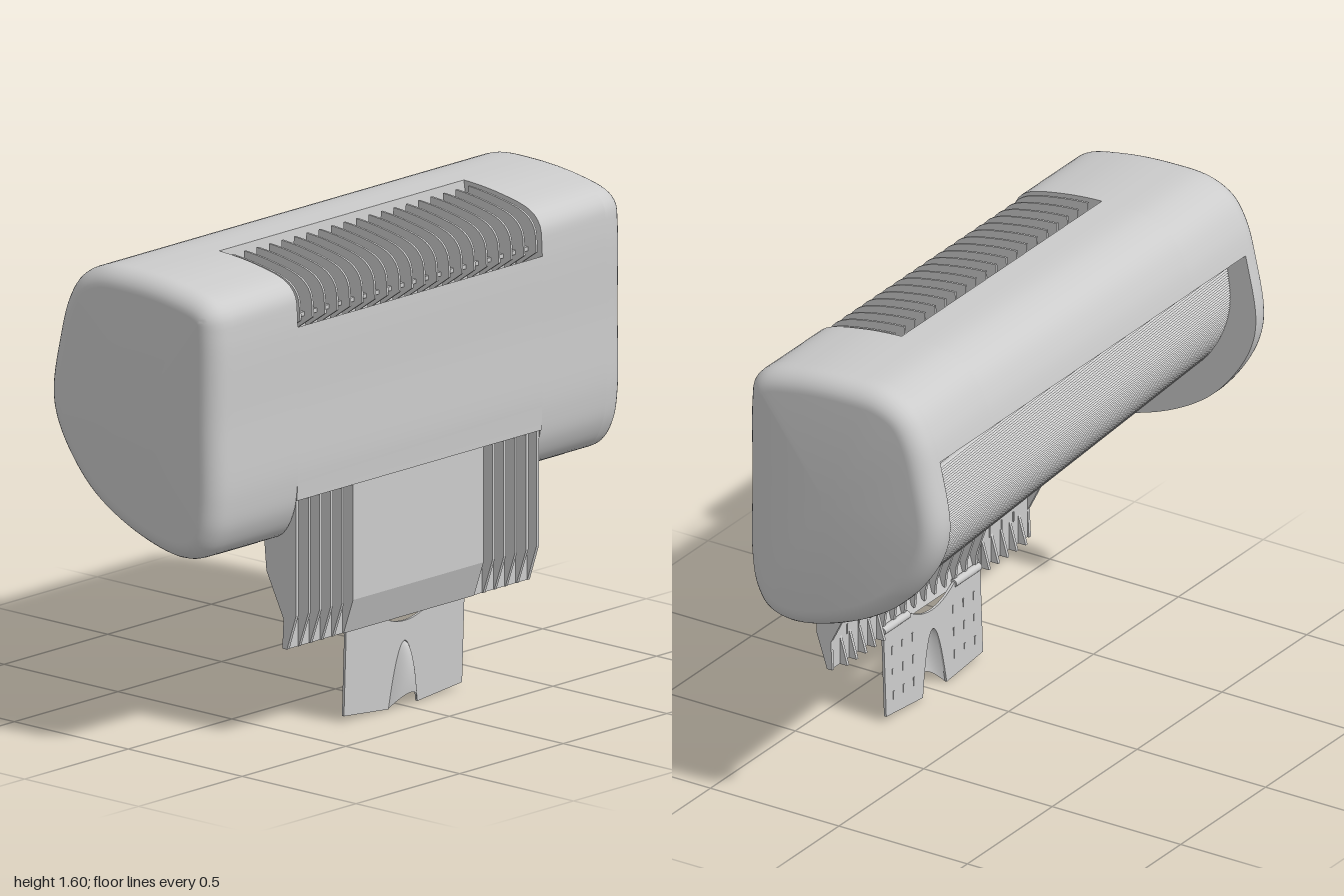
import * as THREE from 'three';
import { toCreasedNormals } from 'three/addons/utils/BufferGeometryUtils.js';

const mat = new THREE.MeshStandardMaterial({ color: 0xcccccc, side: THREE.DoubleSide });
const V = (z, y) => new THREE.Vector2(z, y);
const pts = (list) => list.map(([z, y]) => V(z, y));
const scaleAbout = (list, z, y, s) => list.map((p) => V(z + (p.x - z) * s, y + (p.y - y) * s));

export function createModel() {
  const model = new THREE.Group();

  function add(name, geometry, parent = model) {
    const mesh = new THREE.Mesh(geometry, mat);
    mesh.name = name;
    parent.add(mesh);
    return mesh;
  }
  function group(name) {
    const g = new THREE.Group();
    g.name = name;
    model.add(g);
    return g;
  }
  // Extrude a (z, y) profile along x
  function prism(name, profile, x0, x1, parent, crease = 0.5) {
    const shape = new THREE.Shape(profile.map((p) => V(-p.x, p.y)));
    const g = new THREE.ExtrudeGeometry(shape, { depth: x1 - x0, bevelEnabled: false });
    g.rotateY(Math.PI / 2).translate(x0, 0, 0);
    return add(name, toCreasedNormals(g, crease), parent);
  }
  function box(name, w, h, d, x, y, z, parent) {
    return add(name, new THREE.BoxGeometry(w, h, d).translate(x, y, z), parent);
  }

  // Outer side profile, from the rear lip over the top and round the front
  const control = [[-0.337, 1.33], [-0.3, 1.46], [-0.245, 1.545], [-0.15, 1.592], [0, 1.6], [0.18, 1.585],
    [0.32, 1.55], [0.36, 1.51], [0.37, 1.44], [0.37, 1.15], [0.37, 0.88], [0.35, 0.77], [0.3, 0.695],
    [0.2, 0.667], [0, 0.715], [-0.18, 0.815], [-0.29, 0.935], [-0.352, 1.05], [-0.368, 1.15]];
  const curve = new THREE.CatmullRomCurve3(control.map(([z, y]) => new THREE.Vector3(z, y, 0)), true, 'centripetal');
  const outer = curve.getSpacedPoints(140).slice(0, -1).map((p) => V(p.x, p.y));
  const isOpenBack = (p) => p.y < 1.36 && p.x < 0.16;
  const shell = outer.filter((p) => !isOpenBack(p));

  // Grille line along the back and underside, and the cavity wall behind it
  const grilleLine = new THREE.SplineCurve(pts([[-0.28, 1.365], [-0.302, 1.15], [-0.235, 0.975],
    [-0.1, 0.84], [0.03, 0.77], [0.14, 0.735]]));
  const cavity = scaleAbout(grilleLine.getSpacedPoints(24), 0.05, 1.2, 0.75).reverse();

  // Rounded end caps: rings of the profile, inset towards the outer face
  function endCap(side) {
    const n = outer.length;
    const rings = [[0.9, null], [0.9, 0]];
    for (let i = 0; i <= 8; i++) {
      const a = (i / 8) * Math.PI / 2;
      rings.push([0.925 + 0.072 * Math.sin(a), 0.065 * (1 - Math.cos(a))]);
    }
    rings.push([1, null]);
    const pos = [], idx = [];
    for (const [x, inset] of rings) {
      outer.forEach((p, j) => {
        const t = outer[(j + 1) % n].clone().sub(outer[(j + n - 1) % n]).normalize();
        const q = inset === null ? V(0.05, 1.15) : V(p.x + t.y * inset, p.y - t.x * inset);
        pos.push(side * x, q.y, q.x);
      });
    }
    const tri = (a, b, c) => (side > 0 ? idx.push(a, b, c) : idx.push(a, c, b));
    for (let i = 0; i < rings.length - 1; i++) {
      for (let j = 0; j < n; j++) {
        const a = i * n + j, b = i * n + (j + 1) % n;
        if (i > 0) tri(a, b, a + n);
        if (i < rings.length - 2) tri(b, b + n, a + n);
      }
    }
    const g = new THREE.BufferGeometry();
    g.setAttribute('position', new THREE.Float32BufferAttribute(pos, 3));
    g.setIndex(idx);
    add('endCap', toCreasedNormals(g, 0.7));
  }

  // Body: full section at the sides, notched for slot and paper opening in the middle
  const slotEdge = shell.filter((p) => p.x > 0.035 && p.y > 1.41);
  const slotFloor = scaleAbout(slotEdge, 0.05, 1.2, 0.64);
  for (const s of [-1, 1]) {
    endCap(s);
    prism('sideBody', [...shell, ...cavity], s > 0 ? 0.59 : -0.9, s > 0 ? 0.9 : -0.59);
    box('footPad', 0.2, 0.008, 0.06, s * 0.74, 0.67, 0.21);
  }
  prism('middleBody', [
    ...shell.filter((p) => p.x <= 0.035),
    ...slotFloor,
    ...shell.filter((p) => p.x > 0.3 && p.y <= 1.41 && p.y > 0.88),
    ...pts([[0.368, 0.82], [0.3, 0.82], [0.3, 1.05], [0.08, 1.05]]),
    ...cavity.filter((p) => p.x < 0.06),
  ], -0.59, 0.59);

  // Finely slatted rear cover, sitting slightly askew and cut short above the paper opening
  const slats = 100, teeth = [], backing = [];
  for (let i = 0; i <= slats * 2; i++) {
    const t = grilleLine.getTangentAt(i / (slats * 2)), p = grilleLine.getPointAt(i / (slats * 2));
    const out = i % 2 ? 0.004 : -0.002;
    teeth.push(V(p.x + t.y * out, p.y - t.x * out));
    backing.push(V(p.x - t.y * 0.014, p.y + t.x * 0.014));
  }
  const cut = teeth.findIndex((p) => p.x > 0.03);
  const strip = (a, b) => [...teeth.slice(a, b), ...backing.slice(a, b).reverse()];
  const grille = group('rearCover');
  prism('coverSlats', strip(0, cut + 1), -0.898, 0.898, grille, 0.1);
  prism('coverSlatsLeft', strip(cut), 0.57, 0.898, grille, 0.1);
  prism('coverSlatsRight', strip(cut), -0.898, -0.57, grille, 0.1);
  for (const mesh of grille.children) {
    mesh.geometry.translate(0, -1.05, 0).rotateZ(-0.025).rotateY(0.042).translate(0, 1.05, 0);
  }

  // Top vent: curved fins and crossbars
  const vent = group('topVent');
  const finEdge = slotEdge.filter((p) => p.x > 0.06);
  const finTop = scaleAbout(finEdge, 0.05, 1.2, 0.985);
  const finBottom = scaleAbout(finEdge, 0.05, 1.2, 0.72).reverse();
  for (let i = 0; i < 20; i++) {
    const x = -0.57 + i * 0.06;
    prism('ventFin', [...finTop, ...finBottom], x - 0.004, x + 0.004, vent);
  }
  const barLine = scaleAbout(slotEdge, 0.05, 1.2, 0.86);
  for (const f of [0.22, 0.42, 0.62, 0.92]) {
    const p = barLine[Math.round(f * (barLine.length - 1))];
    box('ventCrossbar', 1.18, 0.014, 0.014, 0, p.y, p.x, vent);
  }

  // Output tray: smooth centre panel between ribbed, recessed side panels
  const tray = group('tray');
  const panel = (front, back) => pts([[front, 0.83], [front, 0.43], [front - 0.042, 0.31],
    [back - 0.035, 0.31], [back, 0.43], [back, 0.83]]);
  prism('trayCentre', panel(0.364, 0.342), -0.31, 0.31, tray, 0.2);
  for (const s of [-1, 1]) {
    const span = (name, profile, a, b) => prism(name, profile, Math.min(s * a, s * b), Math.max(s * a, s * b), tray, 0.2);
    span('traySide', pts([[0.318, 0.83], [0.318, 0.31], [0.306, 0.31], [0.306, 0.83]]), 0.3, 0.585);
    for (let i = 0; i < 5; i++) span('trayRib', panel(0.364, 0.312), 0.304 + i * 0.054, 0.315 + i * 0.054);
    // Side wing and its small inner step
    span('trayWing', pts([[0.36, 0.83], [0.2, 0.83], [0.22, 0.67], [0.23, 0.56], [0.305, 0.41],
      [0.3, 0.31], [0.32, 0.31], [0.36, 0.43]]), 0.574, 0.586);
    span('wingStep', pts([[0.31, 0.62], [0.265, 0.6], [0.265, 0.54], [0.31, 0.52]]), 0.545, 0.576);
    for (let r = 0; r < 3; r++) {
      for (let c = 0; c < 3; c++) {
        box('traySlot', 0.006, 0.035, 0.004, s * (0.35 + c * 0.07), 0.42 + r * 0.09, 0.305, tray);
      }
    }
  }
  // Curved guide ribs behind the centre panel
  for (let i = 0; i < 10; i++) {
    const x = -0.27 + i * 0.06;
    prism('guideRib', pts([[0.345, 0.83], [0.23, 0.83], [0.245, 0.6], [0.27, 0.47], [0.3, 0.38],
      [0.305, 0.33], [0.32, 0.34], [0.345, 0.43]]), x - 0.006, x + 0.006, tray);
  }

  // Extension tongue with a curved top dip and a centre arch
  const extension = group('trayExtension');
  const tongue = new THREE.Shape();
  tongue.moveTo(-0.285, 0.02).lineTo(-0.07, 0);
  for (let i = 1; i < 24; i++) {
    const x = -0.07 + 0.14 * i / 24;
    tongue.lineTo(x, 0.22 * (1 - (x / 0.07) ** 2));
  }
  tongue.lineTo(0.07, 0).lineTo(0.285, 0.02).lineTo(0.285, 0.33).lineTo(0.13, 0.33);
  tongue.quadraticCurveTo(0, 0.245, -0.13, 0.33).lineTo(-0.285, 0.33);
  const sheet = new THREE.ExtrudeGeometry(tongue, { depth: 0.009, bevelEnabled: false, curveSegments: 16 });
  const sp = sheet.attributes.position;
  for (let i = 0; i < sp.count; i++) sp.setZ(i, sp.getZ(i) + 0.287 + 0.035 * sp.getY(i));
  add('tongue', toCreasedNormals(sheet, 0.4), extension);

  // Finger scoop swelling out of the tongue
  const scoop = new THREE.PlaneGeometry(2, 1, 24, 20);
  const cp = scoop.attributes.position;
  for (let i = 0; i < cp.count; i++) {
    const u = cp.getX(i), t = 0.5 - cp.getY(i), round = 1 - u * u;
    const y = 0.22 - t * (0.22 - 0.05 * round);
    const swell = 0.037 * round * Math.sqrt(Math.sin(t * Math.PI * 0.6));
    cp.setXYZ(i, 0.07 * u * Math.sqrt(t), y, 0.294 + 0.035 * y + swell);
  }
  scoop.computeVertexNormals();
  add('fingerScoop', scoop, extension);

  // Raised dashes and hinge rolls on the back of the tongue
  for (const s of [-1, 1]) {
    for (let c = 0; c < 3; c++) {
      for (let r = 0; r < 3; r++) {
        const y = 0.08 + r * 0.08;
        box('tongueDash', 0.006, 0.03, 0.004, s * (0.12 + c * 0.06), y, 0.287 + 0.035 * y, extension);
      }
    }
    const roll = new THREE.CylinderGeometry(0.014, 0.014, 0.15, 16).rotateZ(Math.PI / 2);
    add('hingeRoll', roll.translate(s * 0.21, 0.325, 0.305), extension);
  }
  return model;
}
